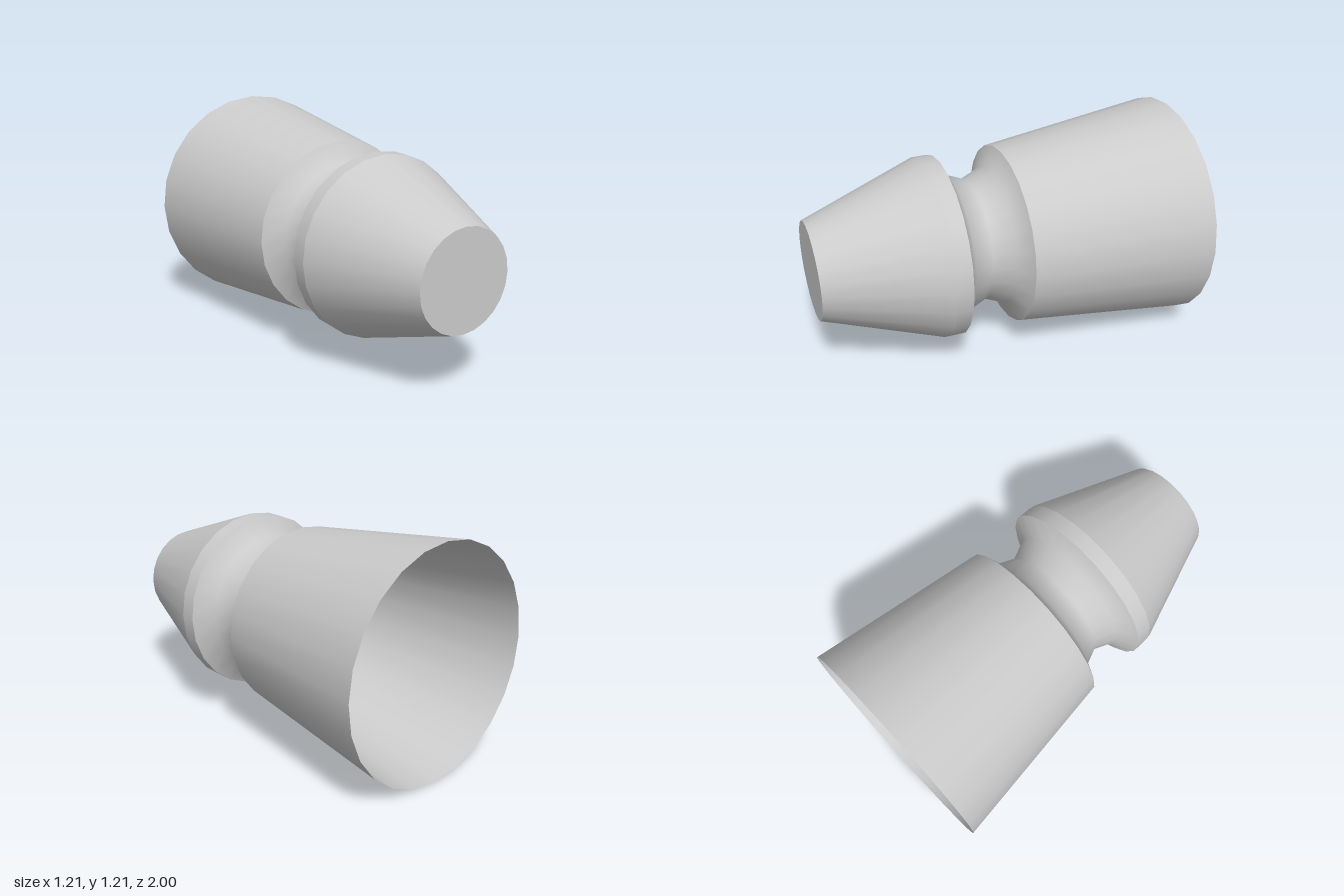
import * as THREE from 'three';

const SIDES = 24;
const AXIS_HEIGHT = 0.605;

export function createModel() {
  const group = new THREE.Group();
  const material = new THREE.MeshStandardMaterial({ color: 0xcccccc, side: THREE.DoubleSide });

  const add = (name, geometry) => {
    const mesh = new THREE.Mesh(geometry, material);
    mesh.name = name;
    mesh.position.y = AXIS_HEIGHT;
    group.add(mesh);
  };

  // Thin turned shell along z; each profile point is [radius, z], back to front
  const turned = (name, profile) => {
    const points = profile.map(([r, z]) => new THREE.Vector2(r, z));
    add(name, new THREE.LatheGeometry(points, SIDES).rotateX(Math.PI / 2));
  };

  // Flared cup, open at the back
  turned('flaredCup', [[0.605, -1], [0.482, -0.035]]);

  // Smooth waisted groove between cup and nose
  turned('neckGroove', [[0.482, -0.035], [0.372, 0.02], [0.326, 0.13], [0.372, 0.24], [0.482, 0.295]]);

  // Short straight band in front of the groove
  turned('collarBand', [[0.482, 0.295], [0.482, 0.378]]);

  // Tapered nose with a flat end
  turned('taperedNose', [[0.482, 0.378], [0.26, 1]]);
  add('noseCap', new THREE.CircleGeometry(0.26, SIDES).translate(0, 0, 1));

  return group;
}
